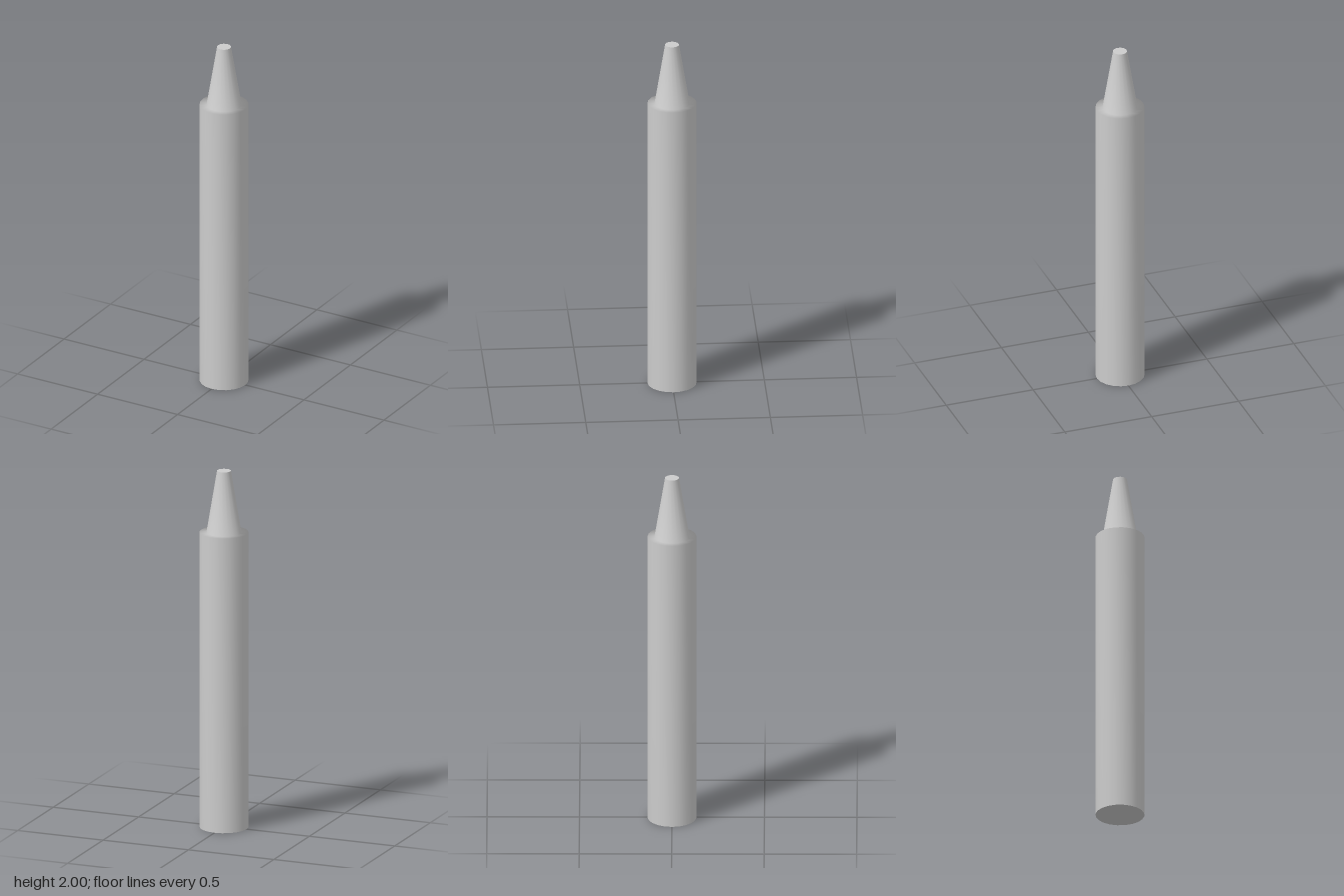
import * as THREE from 'three';
import { mergeVertices } from 'three/addons/utils/BufferGeometryUtils.js';

const SIDES = 20;
const BODY_R = 0.133, SHOULDER_Y = 1.655;
const TIP_BASE_R = 0.095, TIP_R = 0.038, TOP_Y = 2;

export function createModel() {
  const group = new THREE.Group();
  group.name = 'crayon';
  const material = new THREE.MeshStandardMaterial({ color: 0xcccccc });

  const add = (name, geometry) => {
    const mesh = new THREE.Mesh(geometry, material);
    mesh.name = name;
    group.add(mesh);
    return mesh;
  };

  // Barrel, flat shoulder and tapered tip as one smoothly shaded skin
  const profile = [
    [BODY_R, 0], [BODY_R, SHOULDER_Y], [TIP_BASE_R, SHOULDER_Y], [TIP_R, TOP_Y],
  ].map(([r, y]) => new THREE.Vector2(r, y));
  let skin = new THREE.LatheGeometry(profile, SIDES);
  skin.deleteAttribute('normal');
  skin.deleteAttribute('uv');
  skin = mergeVertices(skin); // weld the seam so the shading runs all round
  skin.computeVertexNormals();
  add('barrelAndTip', skin);

  // Flat end faces with sharp rims
  const top = add('tipEnd', new THREE.CircleGeometry(TIP_R, SIDES).rotateX(-Math.PI / 2));
  top.position.y = TOP_Y;
  add('base', new THREE.CircleGeometry(BODY_R, SIDES).rotateX(Math.PI / 2));

  return group;
}
